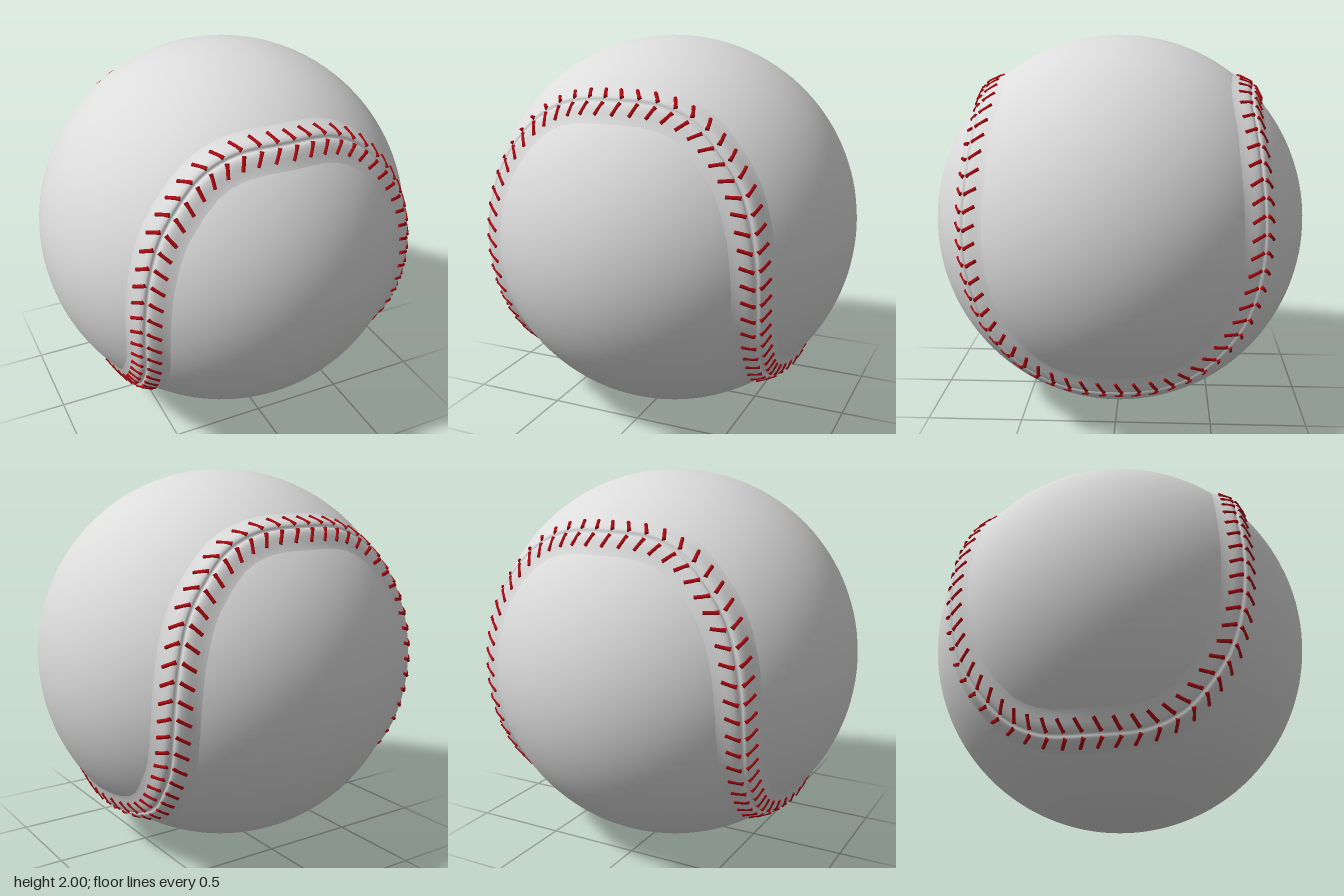
import * as THREE from 'three';
import { mergeGeometries } from 'three/addons/utils/BufferGeometryUtils.js';

const leather = new THREE.MeshStandardMaterial({ color: 0xdcdcdc });
leather.name = 'pale leather';
const thread = new THREE.MeshStandardMaterial({ color: 0xb00810 });
thread.name = 'red thread';

// One lobe of the seam: angle from the lobe's middle (degrees) and height
const half = [[-45, 0], [-43.8, 0.2], [-42, 0.36], [-38, 0.5], [-31, 0.63], [-20, 0.7]];
const lobe = [...half, [0, 0.72], ...half.slice(1).reverse().map(([a, y]) => [-a, y])];

// Closed seam made of four lobes, alternately up and down
function seamCurve() {
  const points = [];
  for (let k = 0; k < 4; k++) {
    const sign = k % 2 ? -1 : 1;
    for (const [a, y] of lobe) {
      const az = THREE.MathUtils.degToRad(90 + 90 * k + a);
      const r = Math.sqrt(1 - y * y);
      points.push(new THREE.Vector3(r * Math.cos(az), sign * y, r * Math.sin(az)));
    }
  }
  const curve = new THREE.CatmullRomCurve3(points, true);
  curve.arcLengthDivisions = 2000;
  return curve;
}

// Point on the ball: u along the seam, d to its side, h above the surface
function onBall(curve, u, d, h) {
  const w = ((u % 1) + 1) % 1;
  const p = curve.getPointAt(w).normalize();
  const side = p.clone().cross(curve.getTangentAt(w)).normalize();
  return p.multiplyScalar(Math.cos(d)).addScaledVector(side, Math.sin(d)).multiplyScalar(1 + h);
}

// Raised seam: two rolled lips with a narrow groove between them
function seamGeometry(curve) {
  const side = [[0.15, -0.006], [0.12, -0.001], [0.09, 0.006], [0.06, 0.019],
    [0.035, 0.028], [0.018, 0.029], [0.007, 0.024]];
  const profile = [...side.map(([d, h]) => [-d, h]), [0, 0.01], ...side.slice().reverse()];
  const n = 400, m = profile.length;
  const positions = [], index = [];
  for (let i = 0; i < n; i++) {
    for (const [d, h] of profile) positions.push(...onBall(curve, i / n, d, h).toArray());
    for (let j = 0; j < m - 1; j++) {
      const a = i * m + j, b = ((i + 1) % n) * m + j;
      index.push(a, b, a + 1, b, b + 1, a + 1);
    }
  }
  const g = new THREE.BufferGeometry();
  g.setAttribute('position', new THREE.Float32BufferAttribute(positions, 3));
  g.setIndex(index);
  g.computeVertexNormals();
  return g;
}

// Tapered thread between two points
function threadGeometry(a, b) {
  const dir = b.clone().sub(a);
  const g = new THREE.CylinderGeometry(0.009, 0.011, dir.length(), 7);
  g.applyQuaternion(new THREE.Quaternion().setFromUnitVectors(new THREE.Vector3(0, 1, 0), dir.normalize()));
  const mid = a.clone().add(b).multiplyScalar(0.5);
  return g.translate(mid.x, mid.y, mid.z);
}

// Row of slanted stitches on one side of the seam
function stitchRow(curve, side) {
  const count = 108, parts = [];
  for (let i = 0; i < count; i++) {
    const u = i / count;
    parts.push(threadGeometry(
      onBall(curve, u, side * 0.014, 0.029),
      onBall(curve, u + 0.0035, side * 0.078, 0.013)));
  }
  return mergeGeometries(parts);
}

export function createModel() {
  const model = new THREE.Group();
  model.name = 'baseball';
  const curve = seamCurve();

  const add = (name, geometry, material) => {
    const mesh = new THREE.Mesh(geometry, material);
    mesh.name = name;
    mesh.position.y = 1;
    model.add(mesh);
  };
  add('ball', new THREE.SphereGeometry(1, 96, 64), leather);
  add('seam', seamGeometry(curve), leather);
  add('leftStitches', stitchRow(curve, 1), thread);
  add('rightStitches', stitchRow(curve, -1), thread);
  return model;
}
